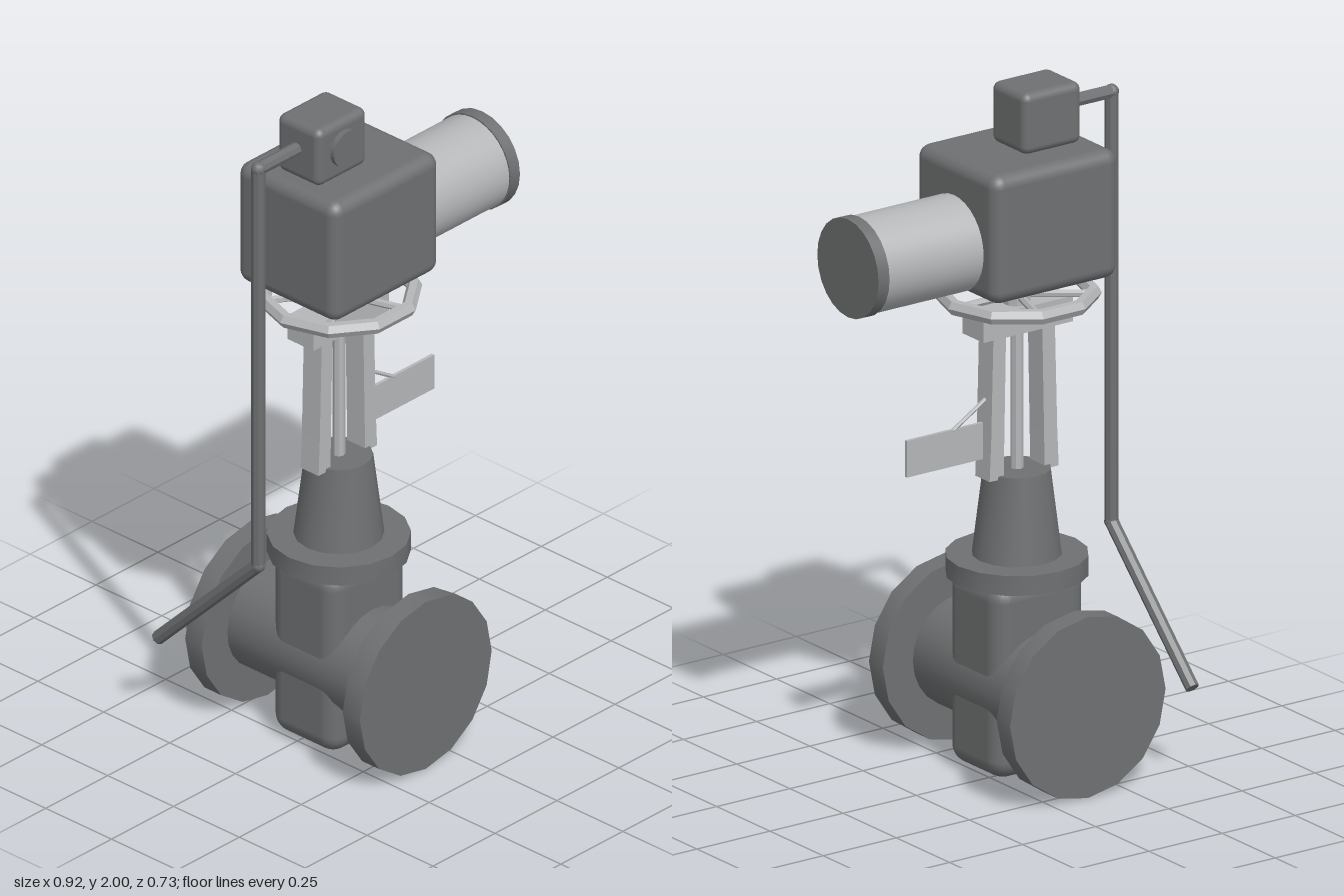
import * as THREE from 'three';
import { RoundedBoxGeometry } from 'three/addons/geometries/RoundedBoxGeometry.js';
import { toCreasedNormals } from 'three/addons/utils/BufferGeometryUtils.js';

const CX = -0.12, CZ = 0.035; // main valve axis

export function createModel() {
  const model = new THREE.Group();
  model.name = 'motorisedValve';
  const darkIron = new THREE.MeshStandardMaterial({ color: 0x6e7071 });
  darkIron.name = 'dark iron';
  const paleSteel = new THREE.MeshStandardMaterial({ color: 0xb4b6b8 });
  paleSteel.name = 'pale steel';

  function add(name, geometry, material, x = 0, y = 0, z = 0) {
    const mesh = new THREE.Mesh(geometry, material);
    mesh.name = name;
    mesh.position.set(x, y, z);
    model.add(mesh);
    return mesh;
  }
  const box = (name, mat, x0, x1, y0, y1, z0, z1) =>
    add(name, new THREE.BoxGeometry(x1 - x0, y1 - y0, z1 - z0), mat,
      (x0 + x1) / 2, (y0 + y1) / 2, (z0 + z1) / 2);
  const roundBox = (name, mat, x0, x1, y0, y1, z0, z1, r) =>
    add(name, new RoundedBoxGeometry(x1 - x0, y1 - y0, z1 - z0, 3, r), mat,
      (x0 + x1) / 2, (y0 + y1) / 2, (z0 + z1) / 2);
  // Cylinder running between two points
  function rod(name, mat, from, to, r0, r1 = r0, sides = 16) {
    const a = new THREE.Vector3(...from), b = new THREE.Vector3(...to);
    const dir = b.clone().sub(a);
    const geo = toCreasedNormals(
      new THREE.CylinderGeometry(r1, r0, dir.length(), sides), 0.6);
    const mesh = add(name, geo, mat);
    mesh.position.copy(a).add(b).multiplyScalar(0.5);
    mesh.quaternion.setFromUnitVectors(new THREE.Vector3(0, 1, 0), dir.normalize());
    return mesh;
  }

  // Flow pipe with an end flange at front and back
  rod('flowPipe', darkIron, [CX, 0.27, -0.25], [CX, 0.27, 0.32], 0.163, 0.163, 24);
  rod('frontFlange', darkIron, [CX, 0.27, 0.30], [CX, 0.27, 0.365], 0.266);
  rod('backFlange', darkIron, [CX, 0.27, -0.298], [CX, 0.27, -0.235], 0.266);

  // Valve body and bonnet
  roundBox('valveBody', darkIron, CX - 0.155, CX + 0.155, 0.015, 0.59, -0.09, 0.163, 0.055);
  rod('bonnetFlange', darkIron, [CX, 0.572, CZ], [CX, 0.63, CZ], 0.2);
  rod('bonnet', darkIron, [CX, 0.63, CZ], [CX, 0.88, CZ], 0.126, 0.095);

  // Yoke: two bent legs and a crossbar
  for (const side of [-1, 1]) {
    const s = new THREE.Shape([
      [0.07, 0.87], [0.118, 0.87], [0.113, 0.98], [0.105, 1.295], [0.062, 1.295], [0.068, 0.98],
    ].map(([x, y]) => new THREE.Vector2(side * x, y)));
    add(side < 0 ? 'rightYokeLeg' : 'leftYokeLeg',
      new THREE.ExtrudeGeometry(s, { depth: 0.068, bevelEnabled: false }),
      paleSteel, CX, 0, CZ - 0.034);
  }
  box('yokeCrossbar', paleSteel, -0.275, 0.03, 1.29, 1.365, -0.015, 0.085);

  // Side plate and its brace
  box('sidePlate', paleSteel, 0.0, 0.26, 0.93, 1.037, 0.03, 0.04);
  rod('plateBrace', paleSteel, [-0.025, 1.11, CZ], [0.1, 1.033, CZ], 0.006, 0.006, 6);

  // Ten-sided handwheel with spokes, hub and stem
  const rim = new THREE.TorusGeometry(0.213, 0.022, 6, 10).toNonIndexed();
  rim.computeVertexNormals();
  rim.rotateX(Math.PI / 2);
  add('handwheelRim', rim, paleSteel, CX, 1.393, CZ);
  for (let i = 0; i < 5; i++) {
    const a = (i / 5) * Math.PI * 2;
    rod('handwheelSpoke', paleSteel, [CX, 1.39, CZ],
      [CX + 0.205 * Math.cos(a), 1.39, CZ + 0.205 * Math.sin(a)], 0.011, 0.011, 6);
  }
  rod('handwheelHub', paleSteel, [CX, 1.365, CZ], [CX, 1.412, CZ], 0.04, 0.04, 10);
  rod('stem', paleSteel, [CX, 0.87, CZ], [CX, 1.46, CZ], 0.018, 0.018, 8).scale.set(1, 1, 1);

  // Actuator housing and motor
  roundBox('actuatorHousing', darkIron, -0.336, 0.095, 1.445, 1.823, -0.157, 0.224, 0.038);
  rod('motor', paleSteel, [0.08, 1.585, CZ], [0.425, 1.585, CZ], 0.139, 0.139, 32);
  rod('motorCap', darkIron, [0.42, 1.585, CZ], [0.458, 1.585, CZ], 0.144, 0.144, 24);

  // Control box with round front dial
  roundBox('controlBox', darkIron, -0.286, -0.086, 1.82, 2.0, -0.048, 0.115, 0.024);
  rod('dial', darkIron, [-0.185, 1.915, 0.11], [-0.185, 1.915, 0.13], 0.055, 0.055, 20);

  // Conduit: out of the control box, down, then slanting to the back
  const path = [[-0.27, 1.918, 0.03], [-0.44, 1.918, 0.03], [-0.44, 0.655, 0.03], [-0.44, 0.275, -0.35]];
  for (let i = 0; i < 3; i++) {
    rod('conduit', darkIron, path[i], path[i + 1], 0.02, 0.02, 8);
    if (i > 0) add('conduitJoint', new THREE.SphereGeometry(0.021, 10, 8), darkIron, ...path[i]);
  }
  return model;
}
